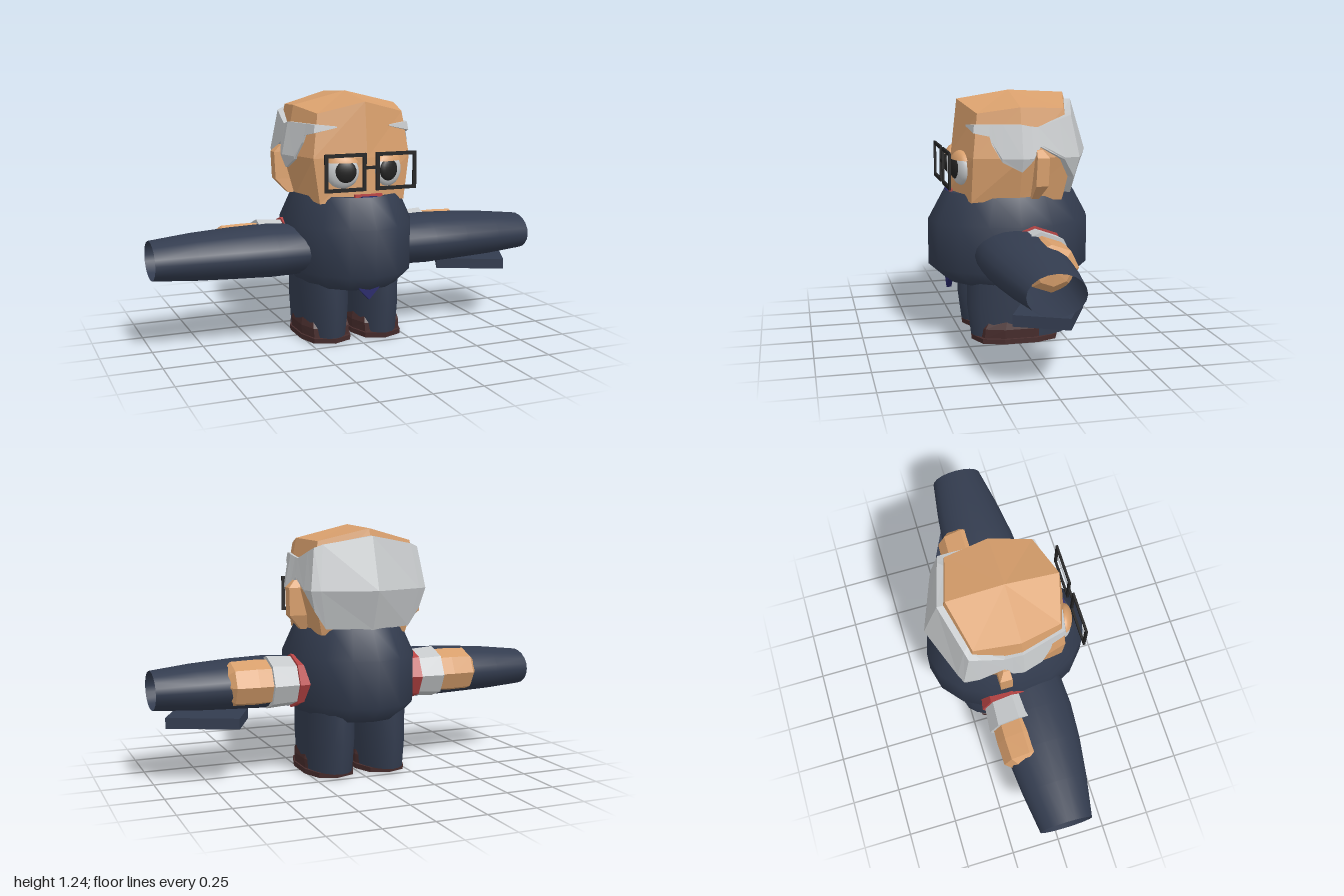
import * as THREE from 'three';

const mat = (name, color, side = THREE.FrontSide, flatShading = false) => {
  const m = new THREE.MeshStandardMaterial({ color, side, flatShading });
  m.name = name;
  return m;
};

// Skin a list of closed point rings; each ring runs counter-clockwise about the direction of travel
function loft(rings, flat = true) {
  const n = rings[0].length, index = [];
  for (let j = 0; j < rings.length - 1; j++)
    for (let i = 0; i < n; i++) {
      const a = j * n + i, b = j * n + (i + 1) % n;
      index.push(a, b, b + n, a, b + n, a + n);
    }
  let g = new THREE.BufferGeometry();
  g.setAttribute('position', new THREE.Float32BufferAttribute(rings.flat(2), 3));
  g.setIndex(index);
  if (flat) g = g.toNonIndexed();
  g.computeVertexNormals();
  return g;
}
const collapse = (ring, p) => ring.map(() => p);
const lerp = (a, b, t) => a.map((v, i) => v + (b[i] - v) * t);

// Half outlines of the head from front to back, at jaw, temple and crown
const HEAD = [
  [[0, 0.74, 0.305], [0.22, 0.71, 0.23], [0.26, 0.73, 0], [0.22, 0.71, -0.22], [0, 0.71, -0.29]],
  [[0, 0.93, 0.29], [0.25, 0.93, 0.225], [0.315, 0.93, 0], [0.27, 0.93, -0.26], [0, 0.93, -0.36]],
  [[0, 1.195, 0.26], [0.22, 1.14, 0.2], [0.27, 1.17, 0], [0.24, 1.16, -0.22], [0, 1.22, -0.28]],
];
const mirrorRing = h => [...h, ...[3, 2, 1].map(i => [-h[i][0], h[i][1], h[i][2]])];

// Point on the head side: t runs 0 (front) to 4 (back), pushed outward by off
function headPoint(t, y, off) {
  const i = Math.min(3, Math.floor(t));
  const [a, b, c] = HEAD.map(r => lerp(r[i], r[i + 1], t - i));
  const p = y < b[1] ? lerp(a, b, (y - a[1]) / (b[1] - a[1])) : lerp(b, c, (y - b[1]) / (c[1] - b[1]));
  return [p[0] * (1 + off), y, p[2] * (1 + off)];
}

export function createModel() {
  const root = new THREE.Group();
  root.name = 'cartoonMan';
  const navy = mat('navySuit', 0x333c4f, THREE.DoubleSide);
  const skin = mat('skin', 0xd89f6c);
  const grey = mat('paleGrey', 0xc6c9cb, THREE.DoubleSide);
  const black = mat('black', 0x222222);
  const brown = mat('shoeBrown', 0x472c2c);
  const red = mat('red', 0xb84444, THREE.DoubleSide);
  const blue = mat('tieBlue', 0x29296a);
  const green = mat('screenGreen', 0x2c5a2c);
  const keyGrey = mat('keyGrey', 0x8d9093);

  const add = (parent, name, geo, m, x = 0, y = 0, z = 0) => {
    const mesh = new THREE.Mesh(geo, m);
    mesh.name = name;
    mesh.position.set(x, y, z);
    parent.add(mesh);
    return mesh;
  };
  const box = (w, h, d) => new THREE.BoxGeometry(w, h, d);

  // Jacket, shirt and tie
  const profile = [[0.32, 0.29], [0.41, 0.37], [0.41, 0.6], [0.33, 0.745]];
  add(root, 'jacket', new THREE.LatheGeometry(profile.map(p => new THREE.Vector2(...p)), 16), navy).scale.x = 0.78;
  add(root, 'jacketTop', new THREE.CircleGeometry(0.33, 16).rotateX(-Math.PI / 2), navy, 0, 0.744).scale.x = 0.78;
  add(root, 'shirt', new THREE.CylinderGeometry(0.29, 0.29, 0.1, 16), grey, 0, 0.36).scale.x = 0.78;
  const tie = new THREE.Shape([[0, 0.24], [0.055, 0.3], [0.04, 0.748], [-0.04, 0.748], [-0.055, 0.3]]
    .map(p => new THREE.Vector2(...p)));
  add(root, 'tie', new THREE.ExtrudeGeometry(tie, { depth: 0.025, bevelEnabled: false }), blue, 0, 0, 0.295);

  // Head
  const rings = HEAD.map(mirrorRing);
  rings.push(collapse(rings[0], [0, 1.235, 0]));
  add(root, 'head', loft(rings), skin);
  add(root, 'mouth', box(0.14, 0.022, 0.015), red, 0, 0.747, 0.302);

  // Hair band: [t, top, bottom, offset] from the front wisp round to the back
  const half = [
    [0.58, 1.08, 1.074, 0.02], [1, 1.09, 1.05, 0.06], [1.33, 1.09, 1.035, 0.05], [1.38, 1.09, 1, 0.05],
    [1.6, 1.09, 0.915, 0.05], [2, 1.09, 0.865, 0.05], [2.2, 1.08, 0.92, 0.05], [2.34, 1.075, 0.985, 0.06],
    [2.75, 1.11, 0.92, 0.09], [3, 1.13, 0.83, 0.1], [3.15, 1.145, 0.745, 0.11], [4, 1.185, 0.74, 0.11],
  ];
  const cols = half.map(([t, top, bot, off]) => {
    const mid = Math.min(Math.max(0.93, bot + 0.01), top - 0.003);
    return [headPoint(t, top, -0.02), headPoint(t, top, off), headPoint(t, mid, off),
      headPoint(t, bot, off), headPoint(t, bot, -0.02)];
  });
  const otherSide = cols.slice(0, -1).reverse().map(c => c.map(([x, y, z]) => [-x, y, z]));
  add(root, 'hair', loft([...cols, ...otherSide]), grey);

  // Glasses
  const glasses = new THREE.Group();
  glasses.name = 'glasses';
  root.add(glasses);
  for (const s of [-1, 1]) {
    for (const y of [0.788, 0.952]) add(glasses, 'rim', box(0.21, 0.017, 0.011), black, s * 0.13, y, 0.335);
    for (const x of [0.034, 0.227]) add(glasses, 'rim', box(0.017, 0.18, 0.011), black, s * x, 0.87, 0.335);
  }
  add(glasses, 'bridge', box(0.06, 0.014, 0.011), black, 0, 0.89, 0.335);

  // Rings of an upright eight-sided sole or an oval limb
  const octagon = (y, sx, sz, dz = 0) => [[0, 1], [0.75, 0.82], [1, 0.35], [1, -0.4], [0.7, -0.85], [0, -1], [-0.7, -0.85],
    [-1, -0.4], [-1, 0.35], [-0.75, 0.82]].map(([x, z]) => [x * sx, y, z * sz + dz]);
  const oval = (fn, n = 20) => Array.from({ length: n }, (_, i) => {
    const a = i / n * Math.PI * 2;
    return fn(Math.cos(a), Math.sin(a));
  });

  // Paired parts, made on the left and mirrored
  for (const s of [1, -1]) {
    const side = new THREE.Group();
    side.name = s > 0 ? 'leftSide' : 'rightSide';
    side.scale.x = s;
    root.add(side);

    // Eye
    const eye = new THREE.Group();
    eye.name = 'eye';
    eye.position.set(0.118, 0.865, 0.262);
    eye.rotation.y = 0.28;
    side.add(eye);
    add(eye, 'eyeball', new THREE.SphereGeometry(0.08, 20, 14), grey).scale.z = 0.45;
    add(eye, 'pupil', new THREE.SphereGeometry(0.054, 18, 12), black, -0.012, 0.003, 0.022).scale.z = 0.4;
    const lid = add(eye, 'eyelid',
      new THREE.SphereGeometry(0.09, 18, 8, 0, Math.PI * 2, 0, Math.PI * 0.33), skin);
    lid.scale.z = 0.5;

    // Ear
    const earRing = (y, x0, x1, z0, z1) => [[x0, y, z1], [x1, y, z1], [x1, y, z0], [x0, y, z0]];
    const ear = [earRing(0.73, 0.2, 0.28, -0.09, -0.055), earRing(0.8, 0.22, 0.345, -0.12, -0.06),
      earRing(0.935, 0.22, 0.35, -0.125, -0.065), earRing(0.97, 0.22, 0.315, -0.1, -0.07)];
    ear.unshift(collapse(ear[0], [0.24, 0.73, -0.07]));
    ear.push(collapse(ear[0], [0.27, 0.97, -0.085]));
    add(side, 'ear', loft(ear), skin);

    // Sleeve: open tube [x, centre y, centre z, half height, half depth]
    const sleeve = [[0.2, 0.46, 0.03, 0.12, 0.19], [0.42, 0.463, 0.028, 0.128, 0.2],
      [0.6, 0.463, 0.026, 0.122, 0.19], [0.8, 0.46, 0.022, 0.112, 0.166], [1, 0.456, 0.018, 0.094, 0.133]];
    add(side, 'sleeve', loft(sleeve.map(([x, cy, cz, ry, rz]) =>
      oval((c, q) => [x, cy + c * ry, cz + q * rz])), false), navy);

    // Hand, shirt cuff and red lining behind the sleeve
    const tube = list => list.map(([x, r]) => oval((c, q) => [x, 0.473 + c * r * 0.87, -0.06 + q * r], 8));
    const hand = tube([[0.3, 0.125], [0.52, 0.132], [0.63, 0.128], [0.665, 0.085]]);
    hand.push(collapse(hand[0], [0.675, 0.473, -0.06]));
    add(side, 'hand', loft(hand), skin);
    add(side, 'cuff', loft(tube([[0.28, 0.135], [0.33, 0.14], [0.45, 0.15], [0.45, 0.125]])), grey);
    add(side, 'cuffLining', loft(tube([[0.25, 0.14], [0.325, 0.154], [0.325, 0.12]])), red);

    // Trouser leg
    const leg = [[0.03, 0.12, 0.245], [0.18, 0.127, 0.264], [0.34, 0.127, 0.262]].map(([y, rx, rz]) =>
      oval((c, q) => [0.137 + q * rx, y, -0.025 + c * rz]));
    add(side, 'trouserLeg', loft(leg, false), navy);

    // Shoe
    const shoe = [octagon(0.003, 0.128, 0.222, -0.005), octagon(0.028, 0.128, 0.225, -0.005),
      octagon(0.03, 0.122, 0.205), octagon(0.075, 0.125, 0.2), octagon(0.118, 0.115, 0.17)];
    shoe.unshift(collapse(shoe[0], [0, 0, 0]));
    shoe.push(collapse(shoe[0], [0, 0.125, 0]));
    add(side, 'shoe', loft(shoe), brown, 0.137);
  }

  // Calculator under the left sleeve, screen and keys facing down
  const calc = new THREE.Group();
  calc.name = 'calculator';
  calc.position.set(0.735, 0.31, -0.02);
  calc.rotation.y = -0.44;
  root.add(calc);
  add(calc, 'calculatorBody', box(0.353, 0.052, 0.255), navy);
  add(calc, 'calculatorScreen', box(0.085, 0.008, 0.2), green, 0.115, -0.028);
  for (let i = 0; i < 4; i++)
    for (let j = 0; j < 4; j++)
      add(calc, 'key', box(0.038, 0.009, 0.038), keyGrey, 0.03 - i * 0.052, -0.029, -0.078 + j * 0.052);

  return root;
}
